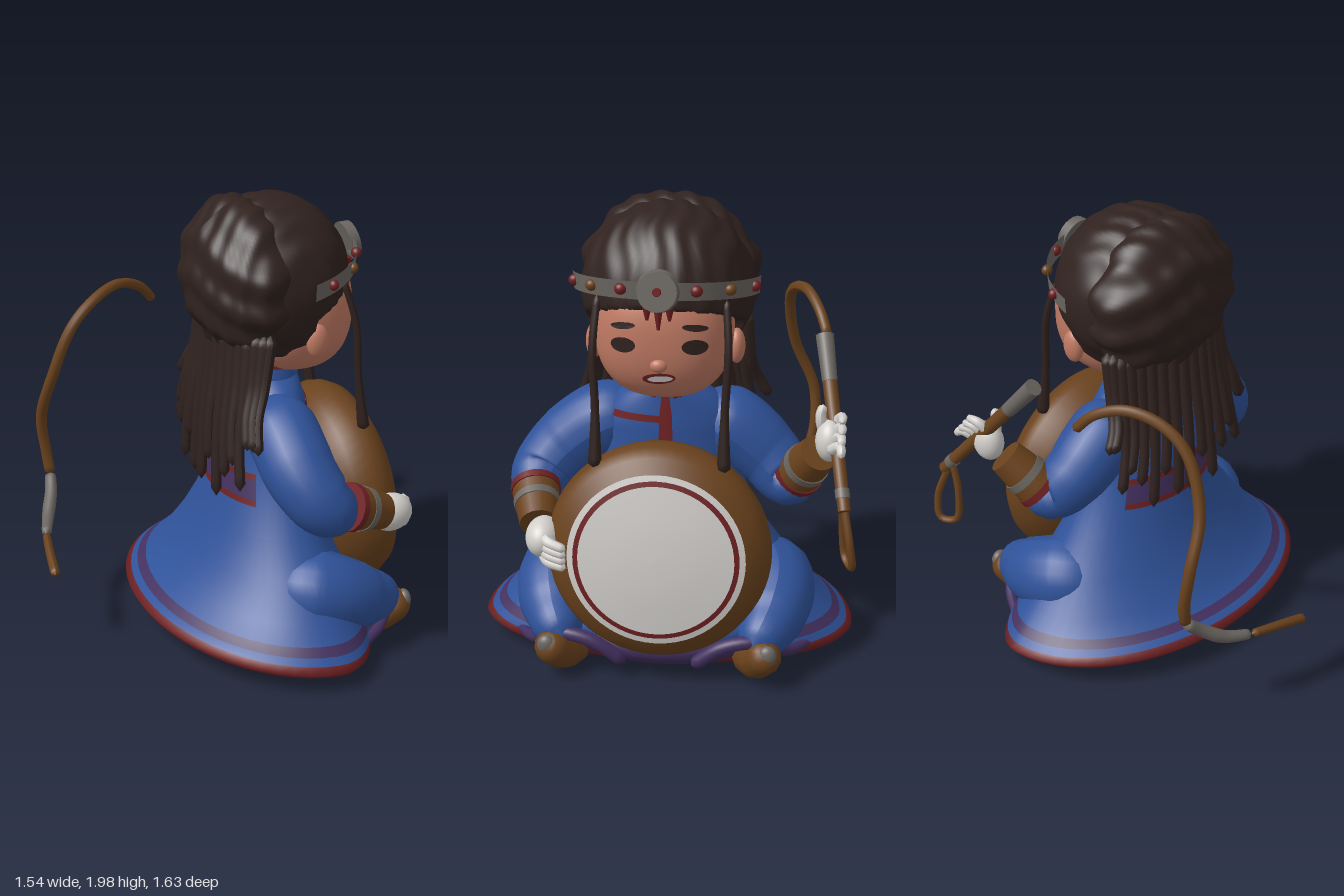
import * as THREE from 'three';

const colour = (name, hex) => {
  const m = new THREE.MeshStandardMaterial({ color: hex, side: THREE.DoubleSide });
  m.name = name;
  return m;
};
const V = (p) => new THREE.Vector3(...p);
const mirror = (p, s) => [p[0], p[1], p[2] * s];

export function createModel() {
  const blue = colour('robe blue', 0x2f5299), purple = colour('trim purple', 0x43305f);
  const red = colour('trim red', 0x6e2022), brown = colour('leather brown', 0x6a421d);
  const dark = colour('hair dark brown', 0x30221f), skin = colour('skin', 0xc07a63);
  const white = colour('white', 0xd2cfcb), grey = colour('metal grey', 0x6a6560);
  const model = new THREE.Group();

  const add = (name, geo, mat) => {
    const m = new THREE.Mesh(geo, mat);
    m.name = name;
    model.add(m);
    return m;
  };

  // Rounded sweep along points with a changing radius
  function taper(name, pts, radii, mat, seg = 24, sides = 12) {
    const curve = new THREE.CatmullRomCurve3(pts.map(V));
    const geo = new THREE.TubeGeometry(curve, seg, 1, sides);
    const len = curve.getLength(), pos = geo.attributes.position, v = new THREE.Vector3();
    for (let i = 0; i <= seg; i++) {
      const u = i / seg, f = u * (radii.length - 1), k = Math.min(Math.floor(f), radii.length - 2);
      let r = THREE.MathUtils.lerp(radii[k], radii[k + 1], f - k);
      const s = Math.min(1, (Math.min(u, 1 - u) * len) / r);
      r *= Math.sqrt(1 - (1 - s) ** 2);
      const c = curve.getPointAt(u);
      for (let j = 0; j <= sides; j++) {
        const n = i * (sides + 1) + j;
        v.fromBufferAttribute(pos, n).sub(c).multiplyScalar(r).add(c);
        pos.setXYZ(n, v.x, v.y, v.z);
      }
    }
    geo.computeVertexNormals();
    return add(name, geo, mat);
  }

  function rod(name, a, b, r0, r1, mat) {
    const p = V(a), q = V(b), d = q.clone().sub(p);
    const m = add(name, new THREE.CylinderGeometry(r1, r0, d.length(), 20), mat);
    m.position.copy(p).add(q).multiplyScalar(0.5);
    m.quaternion.setFromUnitVectors(new THREE.Vector3(0, 1, 0), d.normalize());
    return m;
  }

  function ball(name, c, r, mat) {
    const m = add(name, new THREE.SphereGeometry(1, 28, 20), mat);
    m.position.set(...c);
    m.scale.set(...r);
    return m;
  }

  // Oval sections [y, back x, front x, half width, slope], one material per band
  function loft(name, levels, mats, t0 = 0, t1 = Math.PI * 2, cx = 0.25, grow = 0) {
    const n = 56, pos = [], idx = [], geo = new THREE.BufferGeometry();
    levels.forEach(([y, back, front, w, slope = 0], j) => {
      for (let i = 0; i <= n; i++) {
        const t = t0 + ((t1 - t0) * i) / n, c = Math.cos(t);
        const x = cx + c * ((c > 0 ? front - cx : cx - back) + grow);
        pos.push(x, y + slope * x, (w + grow) * Math.sin(t));
      }
      if (j === levels.length - 1) return;
      geo.addGroup(j * n * 6, n * 6, j);
      for (let i = 0; i < n; i++) {
        const a = j * (n + 1) + i, b = a + n + 1;
        idx.push(a, b, a + 1, a + 1, b, b + 1);
      }
    });
    geo.setAttribute('position', new THREE.Float32BufferAttribute(pos, 3));
    geo.setIndex(idx);
    geo.computeVertexNormals();
    return add(name, geo, Array.isArray(mats) ? mats : levels.slice(1).map(() => mats));
  }

  // Robe
  const robe = [
    [0.09, -0.34, 0.59, 0.79, -0.08], [0.115, -0.355, 0.61, 0.81, -0.08], [0.14, -0.33, 0.62, 0.785, -0.08],
    [0.165, -0.3, 0.62, 0.755, -0.07], [0.195, -0.26, 0.61, 0.72, -0.05], [0.26, -0.19, 0.59, 0.65, -0.02],
    [0.4, -0.1, 0.53, 0.54], [0.55, -0.04, 0.47, 0.43], [0.75, 0.02, 0.42, 0.33], [0.9, 0.04, 0.4, 0.29],
    [1.02, 0.06, 0.4, 0.29], [1.1, 0.08, 0.39, 0.26], [1.16, 0.11, 0.38, 0.2], [1.19, 0.13, 0.38, 0.15]];
  loft('robe', robe, robe.slice(1).map((_, j) => (j < 2 ? red : j === 3 ? purple : blue)));
  loft('robeUnderside', [[0.1, 0.24, 0.26, 0.01, -0.08], robe[0]], blue);
  loft('collar', [[1.17, 0.12, 0.38, 0.15], [1.185, 0.125, 0.385, 0.148], [1.235, 0.13, 0.38, 0.135],
    [1.26, 0.135, 0.37, 0.13]], [red, blue, red], 0.25, Math.PI * 2 - 0.25);
  loft('lapelTrim', [[1.07, 0.07, 0.393, 0.27], [1.1, 0.08, 0.39, 0.26]], red, 0, 0.95, 0.25, 0.006);
  loft('frontTrim', [[0.98, 0.06, 0.4, 0.29], [1.1, 0.08, 0.39, 0.26], [1.19, 0.13, 0.38, 0.15]], red, -0.12, 0.08, 0.25, 0.006);
  const waist = (y) => [y, 0.02 + (y - 0.75) * 0.2, 0.42, 0.33 - (y - 0.75) * 0.4];
  loft('waistPanel', [0.67, 0.695, 0.78, 0.805].map(waist), [red, purple, red], 2.3, 3.98, 0.25, 0.008);
  ball('frontHem', [0.48, 0.13, 0], [0.2, 0.115, 0.42], purple);
  ball('frontLap', [0.46, 0.18, 0], [0.2, 0.12, 0.44], blue);

  // Legs, feet and sleeves on both sides
  for (const s of [1, -1]) {
    const m = (...pts) => pts.map((p) => mirror(p, s));
    taper('knee', m([0.1, 0.33, 0.34], [0.35, 0.29, 0.47], [0.55, 0.22, 0.45], [0.7, 0.19, 0.4]), [0.15, 0.19, 0.15, 0.08], blue, 30, 20);
    taper('kneeTrim', m([0.42, 0.09, 0.64], [0.57, 0.12, 0.54], [0.66, 0.2, 0.42], [0.68, 0.18, 0.28], [0.66, 0.07, 0.14]), [0.02, 0.03, 0.03], purple);
    taper('boot', m([0.5, 0.085, 0.35], [0.6, 0.09, 0.4], [0.74, 0.19, 0.48]), [0.075, 0.085, 0.07], brown);
    ball('solePatch', mirror([0.725, 0.175, 0.465], s), [0.03, 0.045, 0.04], grey);
  }
  taper('drumSleeve', [[0.2, 1.04, 0.1], [0.2, 1.0, 0.28], [0.22, 0.86, 0.46], [0.29, 0.76, 0.54], [0.42, 0.72, 0.55]],
    [0.13, 0.16, 0.16, 0.145, 0.11], blue, 36, 20);
  taper('whipSleeve', [[0.2, 1.04, -0.1], [0.21, 1.0, -0.27], [0.23, 0.87, -0.43], [0.29, 0.79, -0.52], [0.34, 0.86, -0.58]],
    [0.13, 0.16, 0.15, 0.13, 0.09], blue, 36, 20);
  const cuff = (a, b) => {
    const at = (f) => V(a).lerp(V(b), f).toArray();
    rod('cuffTrim', at(-0.12), at(0.05), 0.107, 0.106, red);
    rod('cuff', at(0), at(1), 0.102, 0.08, brown);
    rod('cuffBand', at(0.3), at(0.48), 0.099, 0.096, grey);
  };
  cuff([0.4, 0.735, 0.55], [0.57, 0.665, 0.51]);
  cuff([0.32, 0.84, -0.565], [0.43, 0.98, -0.645]);

  // Hands
  ball('drumPalm', [0.63, 0.635, 0.48], [0.1, 0.085, 0.075], white);
  ball('whipPalm', [0.48, 1.06, -0.69], [0.075, 0.09, 0.06], white);
  for (let k = 0; k < 4; k++) {
    taper('drumFinger', [[0.65, 0.58 + k * 0.03, 0.48], [0.715, 0.565 + k * 0.03, 0.45], [0.745, 0.55 + k * 0.028, 0.37]],
      [0.028, 0.024, 0.018], white, 14, 8);
    taper('whipFinger', [[0.45 + k * 0.03, 1.1 - k * 0.02, -0.69], [0.49 + k * 0.035, 1.17 - k * 0.03, -0.735],
      [0.55 + k * 0.028, 1.17 - k * 0.04, -0.74]], [0.026, 0.022, 0.016], white, 14, 8);
  }
  taper('whipThumb', [[0.46, 1.08, -0.67], [0.47, 1.16, -0.65], [0.46, 1.21, -0.66]], [0.028, 0.024, 0.018], white, 14, 8);

  // Drum
  const drum = new THREE.Group();
  drum.name = 'drum';
  drum.position.set(0.56, 0.58, 0);
  drum.rotation.z = 0.1 - Math.PI / 2;
  const turn = (name, pts, mat) => {
    const m = add(name, new THREE.LatheGeometry(pts.map((p) => new THREE.Vector2(...p)), 56), mat);
    drum.add(m);
  };
  turn('drumShell', [[0, -0.17], [0.3, -0.17], [0.39, -0.13], [0.45, -0.05], [0.47, 0.03], [0.46, 0.08], [0.43, 0.13], [0.37, 0.165]], brown);
  turn('drumRim', [[0.37, 0.165], [0.345, 0.172]], white);
  turn('drumRing', [[0.345, 0.172], [0.324, 0.177]], red);
  turn('drumSkin', [[0.324, 0.177], [0.2, 0.194], [0.1, 0.201], [0, 0.203]], white);
  model.add(drum);

  // Whip
  const hA = V([0.22, 1.42, -0.65]), hB = V([0.72, 0.83, -0.765]);
  const along = (f) => hA.clone().lerp(hB, f).toArray();
  rod('handleEnd', along(0), along(0.26), 0.038, 0.032, grey);
  rod('handle', along(0.24), along(0.97), 0.031, 0.026, brown);
  rod('handleBand', along(0.85), along(0.9), 0.03, 0.03, grey);
  taper('wristLoop', [along(0.9), [0.73, 0.7, -0.79], [0.71, 0.6, -0.8], [0.64, 0.61, -0.77], [0.63, 0.75, -0.755], along(0.88)], [0.016, 0.016], brown, 40, 8);
  taper('lash', [[-0.02, 1.32, -0.66], [-0.1, 1.41, -0.62], [-0.23, 1.46, -0.56], [-0.37, 1.42, -0.5], [-0.48, 1.32, -0.475],
    [-0.57, 1.09, -0.5], [-0.6, 0.86, -0.59], [-0.58, 0.68, -0.6], [-0.57, 0.57, -0.58]], [0.022, 0.025, 0.025], brown, 64, 10);
  taper('lashBinding', [[-0.57, 0.58, -0.585], [-0.59, 0.52, -0.52], [-0.64, 0.45, -0.42], [-0.69, 0.42, -0.3]], [0.026, 0.03, 0.022], grey, 24, 10);
  taper('lashTip', [[-0.69, 0.42, -0.3], [-0.72, 0.4, -0.16], [-0.745, 0.37, -0.01]], [0.018, 0.022], brown, 20, 8);

  // Head: a softly squared ball
  const P = 2.4, C = [0.36, 1.49, 0], R = [0.245, 0.29, 0.285];
  const headGeo = new THREE.SphereGeometry(1, 48, 36), hp = headGeo.attributes.position;
  for (let i = 0; i < hp.count; i++) {
    const d = [hp.getX(i), hp.getY(i), hp.getZ(i)];
    const k = d.reduce((a, v) => a + Math.abs(v) ** P, 0) ** (-1 / P);
    hp.setXYZ(i, ...d.map((v, j) => C[j] + v * k * R[j]));
  }
  headGeo.computeVertexNormals();
  add('head', headGeo, skin);
  rod('neck', [0.26, 1.12, 0], [0.29, 1.34, 0], 0.11, 0.11, skin);
  ball('nose', [0.6, 1.405, 0], [0.025, 0.028, 0.035], skin);
  const faceX = (y, z) => C[0] + R[0] * Math.max(0, 1 - Math.abs((y - C[1]) / R[1]) ** P - Math.abs(z / R[2]) ** P) ** (1 / P);

  // Thin oval laid on the face
  function patch(name, y, z, h, w, tilt, mat, lift = 0.005) {
    const geo = new THREE.CircleGeometry(1, 24).scale(w, h, 1).rotateZ(tilt), p = geo.attributes.position;
    for (let i = 0; i < p.count; i++) {
      const py = y + p.getY(i), pz = z - p.getX(i);
      p.setXYZ(i, faceX(py, pz) + lift, py, pz);
    }
    geo.computeVertexNormals();
    add(name, geo, mat);
  }
  for (const s of [1, -1]) {
    patch('eye', 1.485, 0.145 * s, 0.032, 0.052, s * 0.1, dark);
    patch('brow', 1.565, 0.145 * s, 0.014, 0.052, s * 0.15, dark);
    ball('ear', [0.35, 1.41, 0.295 * s], [0.05, 0.075, 0.035], skin);
  }
  patch('mouth', 1.345, 0, 0.026, 0.068, 0.08, red);
  patch('teeth', 1.345, -0.005, 0.015, 0.052, 0.08, white, 0.008);

  // Hair: ridged caps, cut back to clear the face
  function hair(name, c, r, ridge, bump) {
    const geo = new THREE.SphereGeometry(1, 96, 64), p = geo.attributes.position;
    for (let i = 0; i < p.count; i++) {
      const x = p.getX(i), y = p.getY(i), z = p.getZ(i);
      const k = 1 + bump * ridge(x, y, z);
      const py = c[1] + y * r[1] * k;
      const limit = 0.33 + 0.28 * THREE.MathUtils.smoothstep(py, 1.5, 1.66);
      p.setXYZ(i, Math.min(c[0] + x * r[0] * k, limit), py, z * r[2] * k);
    }
    geo.computeVertexNormals();
    add(name, geo, dark);
  }
  hair('hairCap', [0.25, 1.62], [0.345, 0.36, 0.36], (x, y, z) => Math.sin(z * 24 + Math.sin(x * 9)), 0.012);
  hair('hairBundle', [0.11, 1.64], [0.22, 0.335, 0.375], (x, y, z) => Math.sin(y * 13 + 5 * Math.abs(z)) + 0.5 * Math.sin(z * 22 + x * 7), 0.03);

  // Hanging locks at the back, two at the front
  for (let i = 0; i < 17; i++) {
    const a = -1.5 + (3 * i) / 16, c = Math.cos(a), s = Math.sin(a);
    const end = 1.08 - 0.33 * c + 0.09 * Math.sin(i * 2.3);
    taper('backLock', [[0.13 - 0.13 * c, 1.48, 0.32 * s], [0.09 - 0.11 * c, 1.25, 0.34 * s],
      [0.05 - 0.1 * c, (1.25 + end) / 2, 0.37 * s], [0.03 - 0.09 * c, end, 0.42 * s]], [0.03, 0.027, 0.022, 0.024], dark, 20, 7);
  }
  for (const s of [1, -1]) {
    taper('frontLock', [[0.48, 1.66, 0.26 * s], [0.54, 1.45, 0.275 * s], [0.565, 1.2, 0.265 * s], [0.6, 0.94, 0.265 * s]],
      [0.015, 0.017, 0.017, 0.03], dark, 30, 8);
  }

  // Headband with disc and stones
  loft('headband', [[1.565, -0.1, 0.61, 0.375, 0.2], [1.64, -0.1, 0.615, 0.38, 0.2]], grey, -1.5, 1.5, 0.27, 0.008);
  rod('headbandDisc', [0.61, 1.725, 0], [0.655, 1.735, 0], 0.088, 0.08, grey);
  rod('discStone', [0.65, 1.734, 0], [0.662, 1.736, 0], 0.02, 0.015, red);
  for (const t of [-1.25, -0.8, -0.4, 0.4, 0.8, 1.25]) {
    const x = 0.27 + 0.352 * Math.cos(t);
    ball('bandStone', [x, 1.605 + 0.2 * x, 0.387 * Math.sin(t)], [0.022, 0.024, 0.025], Math.abs(t) === 0.8 ? brown : red);
  }
  for (const [z, len] of [[0, 0.1], [0.045, 0.06], [-0.045, 0.06]]) {
    rod('browPendant', [0.605, 1.66 - len, z], [0.605, 1.67, z], 0.006, 0.022, red);
  }
  return model;
}
